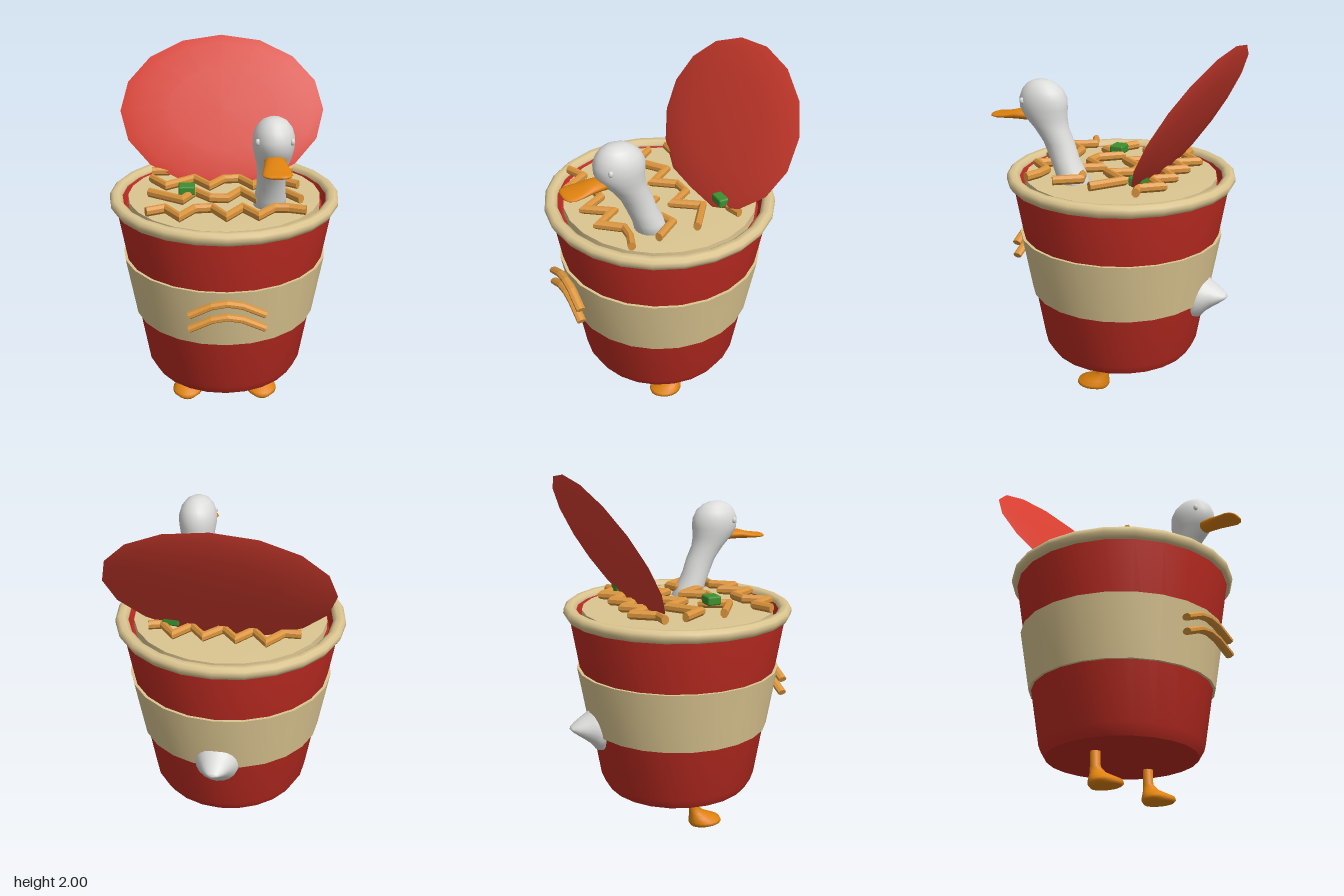
import * as THREE from 'three';
import { mergeVertices, toCreasedNormals } from 'three/addons/utils/BufferGeometryUtils.js';
import { RoundedBoxGeometry } from 'three/addons/geometries/RoundedBoxGeometry.js';

const paint = (name, color) => {
  const m = new THREE.MeshStandardMaterial({ color });
  m.name = name;
  return m;
};

// Lathe with sharp edges kept; profile runs bottom to top on the outside
const turned = (profile, segments, crease = 0.6) =>
  toCreasedNormals(new THREE.LatheGeometry(profile.map(([r, y]) => new THREE.Vector2(r, y)), segments), crease);

// Smooth body from elliptical rings [y, centreZ, radiusX, radiusZ], bottom to top
function loft(rings, segments = 20) {
  const g = new THREE.LatheGeometry(rings.map(([y]) => new THREE.Vector2(1, y)), segments);
  const p = g.attributes.position;
  for (let i = 0; i < p.count; i++) {
    const [y, cz, rx, rz] = rings[i % rings.length];
    p.setXYZ(i, p.getX(i) * rx, y, cz + p.getZ(i) * rz);
  }
  g.deleteAttribute('uv');
  g.deleteAttribute('normal');
  const m = mergeVertices(g, 1e-5);
  m.computeVertexNormals();
  return m;
}

// Mitred strand along a flat polyline in x and y, with an octagonal section
function strand(pts, w = 0.021, d = 0.026, sides = 8) {
  const v = pts.map(([x, y]) => new THREE.Vector2(x, y));
  const n = v.length, pos = [], idx = [];
  v.forEach((p, i) => {
    const a = p.clone().sub(v[Math.max(i - 1, 0)]).normalize();
    const b = v[Math.min(i + 1, n - 1)].clone().sub(p).normalize();
    const t = a.clone().add(b).normalize();
    const miter = 1 / Math.max(0.6, Math.abs(t.dot(i ? a : b)));
    for (let s = 0; s < sides; s++) {
      const q = ((s + 0.5) / sides) * Math.PI * 2;
      const o = Math.cos(q) * w * miter;
      pos.push(p.x - t.y * o, p.y + t.x * o, Math.sin(q) * d);
    }
  });
  for (let i = 0; i < n - 1; i++)
    for (let s = 0; s < sides; s++) {
      const a = i * sides + s, b = i * sides + ((s + 1) % sides);
      idx.push(a, a + sides, b, b, a + sides, b + sides);
    }
  const last = (n - 1) * sides;
  for (let s = 1; s < sides - 1; s++) idx.push(0, s, s + 1, last, last + s + 1, last + s);
  // Reverse the winding so that the faces point outwards
  const [o, p1, p2] = [idx[0], idx[1], idx[2]].map(k => new THREE.Vector3().fromArray(pos, k * 3));
  const normal = p1.clone().sub(o).cross(p2.clone().sub(o));
  const centre = new THREE.Vector3((v[0].x + v[1].x) / 2, (v[0].y + v[1].y) / 2, 0);
  const mid = o.clone().add(p1).add(p2).divideScalar(3).sub(centre);
  const dir = new THREE.Vector3(v[1].x - v[0].x, v[1].y - v[0].y, 0).normalize();
  mid.addScaledVector(dir, -mid.dot(dir));
  if (normal.dot(mid) < 0)
    for (let i = 0; i < idx.length; i += 3) [idx[i + 1], idx[i + 2]] = [idx[i + 2], idx[i + 1]];
  const g = new THREE.BufferGeometry();
  g.setAttribute('position', new THREE.Float32BufferAttribute(pos, 3));
  g.setIndex(idx);
  const flat = g.toNonIndexed();
  flat.computeVertexNormals();
  return flat;
}

export function createModel() {
  const red = paint('cup red', 0xbf2c22);
  const lidRed = paint('lid red', 0xd83e30);
  const cream = paint('cream', 0xdcc691);
  const noodleTan = paint('noodle tan', 0xdb953d);
  const orange = paint('orange', 0xdf820f);
  const white = paint('feather white', 0xdcdcda);
  const green = paint('green', 0x3c8f2f);

  const model = new THREE.Group();
  model.name = 'noodleCupDuck';
  const add = (name, geometry, material, x = 0, y = 0, z = 0, parent = model) => {
    const m = new THREE.Mesh(geometry, material);
    m.name = name;
    m.position.set(x, y, z);
    parent.add(m);
    return m;
  };

  // Cup, painted band, rolled rim and broth
  add('cup', turned([[0, 0.21], [0.41, 0.21], [0.445, 0.27], [0.603, 1.22], [0.565, 1.245], [0.545, 1.2], [0, 1.2]], 24), red);
  add('band', turned([[0.49, 0.58], [0.511, 0.58], [0.569, 0.92], [0.545, 0.92]], 24), cream);
  add('rim', turned([[0.565, 1.225], [0.585, 1.207], [0.618, 1.208], [0.634, 1.235], [0.632, 1.258], [0.615, 1.273],
    [0.585, 1.272], [0.564, 1.255], [0.565, 1.225]], 24, 1.2), cream);
  add('broth', turned([[0.532, 1.19], [0.532, 1.25], [0, 1.253]], 24), cream);

  // Open lid, a shallow oval lens leaning back
  const lid = add('lid', turned([[0, -0.032], [0.32, -0.026], [0.53, -0.013], [0.59, 0], [0.53, 0.013], [0.32, 0.026], [0, 0.032]], 16), lidRed, 0, 1.61, -0.412);
  lid.scale.z = 0.765;
  lid.rotation.x = Math.PI / 3;

  // Wavy noodles on the broth, as x and z points
  const rows = [
    [[-0.41, -0.25], [-0.32, -0.25], [-0.24, -0.36], [-0.16, -0.25], [-0.08, -0.35], [0, -0.25], [0.09, -0.35], [0.17, -0.25], [0.25, -0.35], [0.33, -0.25], [0.4, -0.27]],
    [[-0.405, -0.135], [-0.32, -0.01], [-0.165, -0.125], [-0.08, 0], [0, -0.11], [0.09, -0.115], [0.16, 0], [0.25, -0.13], [0.41, -0.01]],
    [[-0.41, 0.085], [-0.23, 0.205], [-0.16, 0.08], [-0.075, 0.18], [0.01, 0.19], [0.087, 0.075], [0.165, 0.2], [0.25, 0.11], [0.315, 0.085], [0.405, 0.21]],
    [[-0.415, 0.365], [-0.315, 0.32], [-0.24, 0.44], [-0.165, 0.33], [-0.07, 0.32], [0, 0.445], [0.087, 0.32], [0.165, 0.435], [0.25, 0.33], [0.33, 0.335], [0.415, 0.365]],
  ];
  rows.forEach((row, i) => add(`noodle${i + 1}`, strand(row).rotateX(Math.PI / 2), noodleTan, 0, 1.295));

  // Noodle emblem on the band
  for (const y of [0.8, 0.72])
    add('bandNoodle', strand([[-0.2, 0], [-0.08, 0.053], [0, 0.066], [0.08, 0.053], [0.2, 0]], 0.019, 0.026), noodleTan, 0, y, 0.577);

  // Chopped greens
  add('greenLeft', new RoundedBoxGeometry(0.09, 0.05, 0.08, 2, 0.01), green, 0.28, 1.322, -0.232);
  add('greenRight', new RoundedBoxGeometry(0.09, 0.05, 0.08, 2, 0.01), green, -0.205, 1.322, 0.11);

  // Duck head and neck
  const duck = new THREE.Group();
  duck.name = 'duckHead';
  duck.position.x = 0.24;
  model.add(duck);
  add('headAndNeck', loft([
    [1.2, 0.15, 0, 0], [1.2, 0.15, 0.092, 0.1], [1.3, 0.188, 0.085, 0.084], [1.38, 0.225, 0.077, 0.08], [1.46, 0.255, 0.076, 0.085],
    [1.53, 0.297, 0.083, 0.094], [1.59, 0.33, 0.097, 0.118], [1.64, 0.343, 0.106, 0.134], [1.69, 0.345, 0.106, 0.135],
    [1.735, 0.348, 0.092, 0.115], [1.768, 0.352, 0.066, 0.083], [1.785, 0.355, 0.036, 0.045], [1.79, 0.356, 0, 0],
  ], 24), white, 0, 0, 0, duck);
  add('beak', loft([
    [0.42, -1.592, 0, 0], [0.42, -1.592, 0.05, 0.03], [0.5, -1.59, 0.058, 0.027], [0.56, -1.581, 0.068, 0.019],
    [0.61, -1.577, 0.075, 0.014], [0.638, -1.577, 0.064, 0.012], [0.652, -1.577, 0.04, 0.008], [0.655, -1.577, 0, 0],
  ]).rotateX(Math.PI / 2), orange, 0, 0, 0, duck);
  for (const side of [-1, 1]) {
    const eye = add(side > 0 ? 'leftEye' : 'rightEye', new THREE.SphereGeometry(0.013, 12, 8), white, side * 0.086, 1.684, 0.427, duck);
    eye.scale.y = 1.4;
  }

  // Tail poking out of the back
  add('tail', loft([
    [0.46, 0.6, 0, 0], [0.46, 0.6, 0.125, 0.13], [0.5, 0.602, 0.118, 0.125], [0.53, 0.608, 0.1, 0.092], [0.57, 0.614, 0.078, 0.064],
    [0.61, 0.617, 0.055, 0.036], [0.638, 0.619, 0.03, 0.014], [0.65, 0.62, 0, 0],
  ]).rotateX(-Math.PI / 2), white);

  // Webbed feet
  for (const side of [-1, 1])
    add(side > 0 ? 'leftFoot' : 'rightFoot', loft([
      [0, 0.075, 0, 0], [0.004, 0.075, 0.062, 0.088], [0.018, 0.073, 0.086, 0.095], [0.035, 0.07, 0.085, 0.092], [0.06, 0.045, 0.064, 0.066],
      [0.085, 0.02, 0.042, 0.042], [0.12, 0.003, 0.028, 0.028], [0.2, 0.003, 0.028, 0.026], [0.2, 0.003, 0, 0],
    ]), orange, side * 0.222);

  return model;
}
